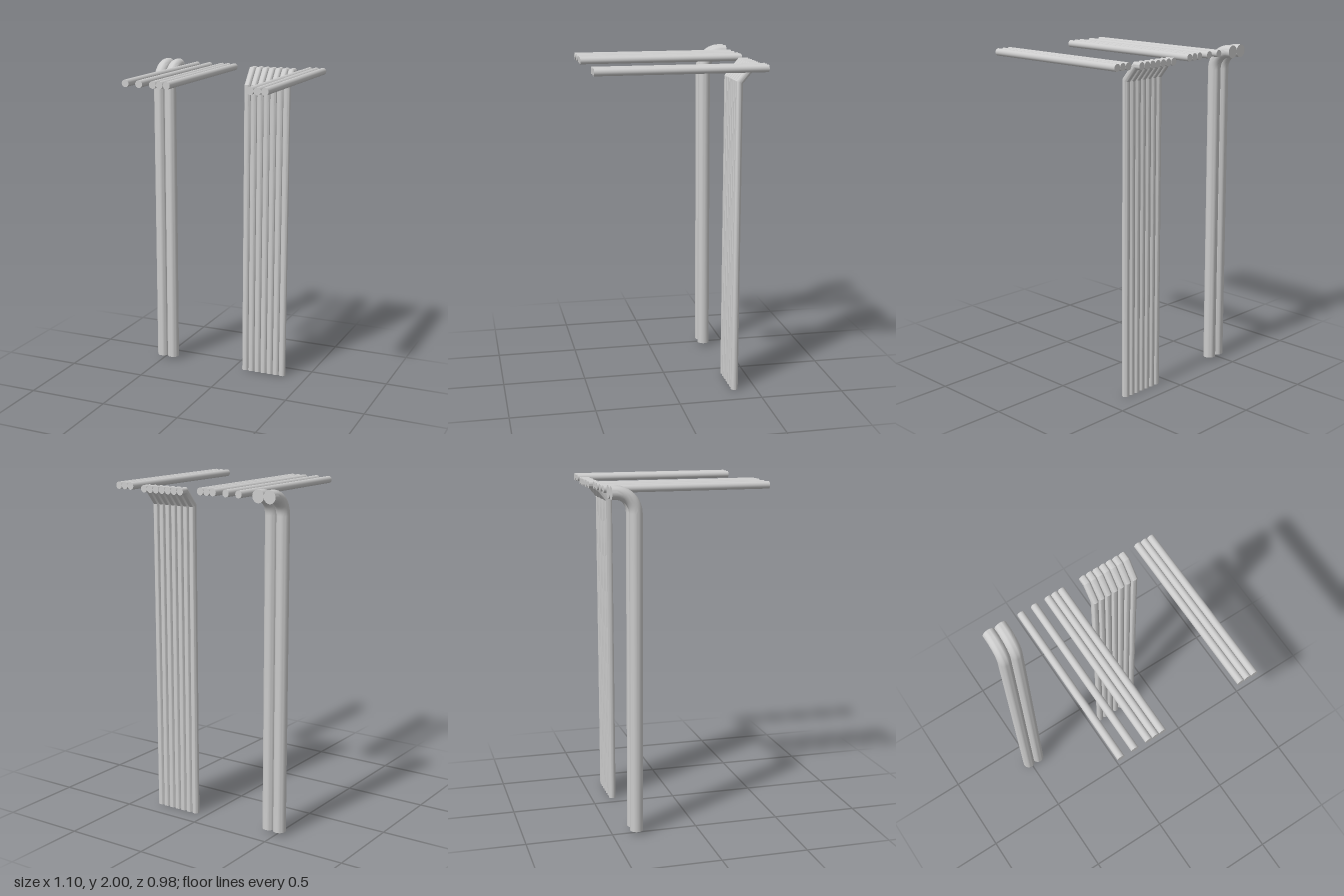
import * as THREE from 'three';
import { toCreasedNormals } from 'three/addons/utils/BufferGeometryUtils.js';

const SIDES = 28;

// Closed round pipe swept along [y, z] points with mitred joints
function pipeGeometry(path, r) {
  const pos = [], idx = [], last = path.length - 1;
  const dir = (a, b) => new THREE.Vector2(b[0] - a[0], b[1] - a[1]).normalize();
  path.forEach((p, i) => {
    const before = dir(path[Math.max(i - 1, 0)], path[Math.max(i, 1)]);
    const after = dir(path[Math.min(i, last - 1)], path[Math.min(i + 1, last)]);
    const t = before.clone().add(after).normalize();
    const stretch = r / t.dot(before);
    for (let j = 0; j < SIDES; j++) {
      const a = (j / SIDES) * Math.PI * 2, s = Math.sin(a) * stretch;
      pos.push(Math.cos(a) * r, p[0] - t.y * s, p[1] + t.x * s);
    }
  });
  const start = pos.length / 3, end = start + 1;
  pos.push(0, ...path[0], 0, ...path[last]);
  for (let j = 0; j < SIDES; j++) {
    const k = (j + 1) % SIDES;
    for (let i = 0; i < last; i++) {
      const a = i * SIDES, b = a + SIDES;
      idx.push(a + j, b + j, a + k, a + k, b + j, b + k);
    }
    idx.push(start, j, k, end, last * SIDES + k, last * SIDES + j);
  }
  const g = new THREE.BufferGeometry();
  g.setAttribute('position', new THREE.Float32BufferAttribute(pos, 3));
  g.setIndex(idx);
  return toCreasedNormals(g, Math.PI / 6);
}

export function createModel() {
  const model = new THREE.Group();
  model.name = 'pipework';
  const material = new THREE.MeshStandardMaterial({ color: 0xcccccc });

  // A row of identical pipes at the given x positions
  const addRow = (name, geometry, xs, y = 0) => {
    const row = new THREE.Group();
    row.name = name;
    xs.forEach((x, i) => {
      const mesh = new THREE.Mesh(geometry, material);
      mesh.name = `${name}Pipe${i + 1}`;
      mesh.position.set(x, y, 0);
      row.add(mesh);
    });
    model.add(row);
  };

  // Thick downpipes with a rounded elbow towards the back
  const elbow = [[0.02, -0.36]];
  for (let i = 0; i <= 10; i++) {
    const a = (i / 10) * Math.PI / 2;
    elbow.push([1.85 + 0.1125 * Math.sin(a), -0.46 + 0.11 * Math.cos(a)]);
  }
  elbow.push([1.9625, -0.487]);
  addRow('thickDownpipes', pipeGeometry(elbow, 0.0375), [-0.511, -0.438]);

  // Thin downpipes with two mitred bends
  const mitred = [[0, -0.371], [1.867, -0.371], [1.955, -0.445], [1.955, -0.489]];
  const thinXs = Array.from({ length: 7 }, (_, i) => 0.083 + i * 0.0427);
  addRow('thinDownpipes', pipeGeometry(mitred, 0.0215), thinXs);

  // Straight overhead pipes running front to back
  const straight = new THREE.CylinderGeometry(0.0213, 0.0213, 0.973, SIDES).rotateX(Math.PI / 2);
  addRow('singleOverhead', straight, [-0.311, -0.226], 1.964);
  addRow('rightOverhead', straight, [-0.14, -0.0975, -0.055], 1.964);
  addRow('leftOverhead', straight, [0.441, 0.4835, 0.526], 1.964);

  return model;
}
